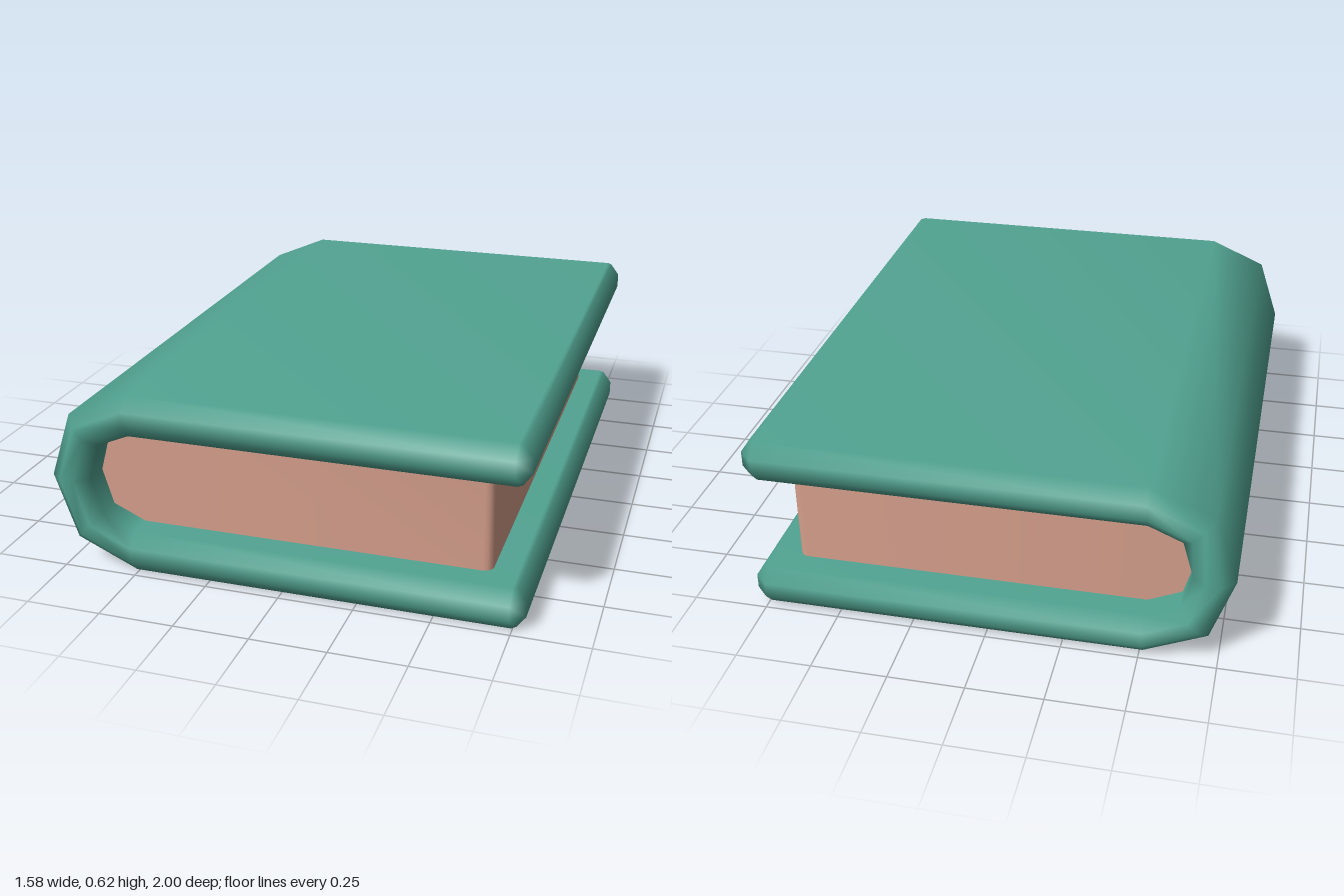
import * as THREE from 'three';
import { toCreasedNormals } from 'three/addons/utils/BufferGeometryUtils.js';

// Matching outer and inner outlines of the wrapped cover, top edge to bottom edge
const OUTER = [[0.745, 0.62], [-0.51, 0.62], [-0.715, 0.532], [-0.79, 0.31], [-0.715, 0.092], [-0.51, 0], [0.745, 0]];
const INNER = [[0.745, 0.48], [-0.51, 0.48], [-0.62, 0.433], [-0.655, 0.31], [-0.62, 0.19], [-0.51, 0.14], [0.745, 0.14]];
const between = (i, f) => [0, 1].map((k) => OUTER[i][k] + (INNER[i][k] - OUTER[i][k]) * f);

// Closed skin through equal-sized rings of points, capped at both ends
function loft(rings) {
  const n = rings[0].length;
  const index = [];
  for (let r = 0; r < rings.length - 1; r++) {
    for (let j = 0; j < n; j++) {
      const a = r * n + j;
      const b = r * n + (j + 1) % n;
      index.push(a, a + n, b, b, a + n, b + n);
    }
  }
  const last = (rings.length - 1) * n;
  for (let k = 0; k < Math.floor((n - 1) / 2); k++) {
    const p = k + 1, q = n - 1 - k, s = n - 2 - k;
    index.push(k, p, q, last + k, last + q, last + p);
    if (p !== s) index.push(p, s, q, last + p, last + q, last + s);
  }
  const geometry = new THREE.BufferGeometry();
  geometry.setAttribute('position', new THREE.Float32BufferAttribute(rings.flat(2), 3));
  geometry.setIndex(index);
  geometry.computeVertexNormals();
  return geometry;
}

// Cover slab cross-section: four points through the thickness, mirrored in z
function coverRing(i, isTip) {
  const half = [0, 0.32, 0.68, 1].map((f, k) => {
    const mid = k === 1 || k === 2;
    const [x, y] = between(i, f);
    if (isTip) return [mid ? 0.79 : 0.76, y, mid ? 0.955 : 0.945];
    return [x, y, mid ? 1 : 0.96];
  });
  return [...half, ...half.map(([x, y, z]) => [x, y, -z]).reverse()];
}

export function createModel() {
  const coverGreen = new THREE.MeshStandardMaterial({ color: 0x52a492 });
  const pagePink = new THREE.MeshStandardMaterial({ color: 0xd69f8c });
  coverGreen.name = 'coverGreen';
  pagePink.name = 'pagePink';

  const group = new THREE.Group();
  group.name = 'book';

  // Padded cover wrapped around the spine, with bevelled rims
  const coverRings = [coverRing(0, true), ...OUTER.map((_, i) => coverRing(i, false)), coverRing(6, true)];
  const cover = new THREE.Mesh(loft(coverRings), coverGreen);
  cover.name = 'cover';

  // Page block filling the cover, with rounded fore-edge corners
  const corner = [[0.635, 0.88], [0.65, 0.876], [0.661, 0.865], [0.665, 0.85]];
  const stations = [...corner, ...corner.map(([x, z]) => [x, -z]).reverse()];
  const pageRings = stations.map(([edge, z]) => INNER.map((_, i) => {
    const [x, y] = between(i, 0.9);
    return [Math.min(x, edge), y, z];
  }));
  const pages = new THREE.Mesh(toCreasedNormals(loft(pageRings), 0.65), pagePink);
  pages.name = 'pages';

  group.add(cover, pages);
  return group;
}
